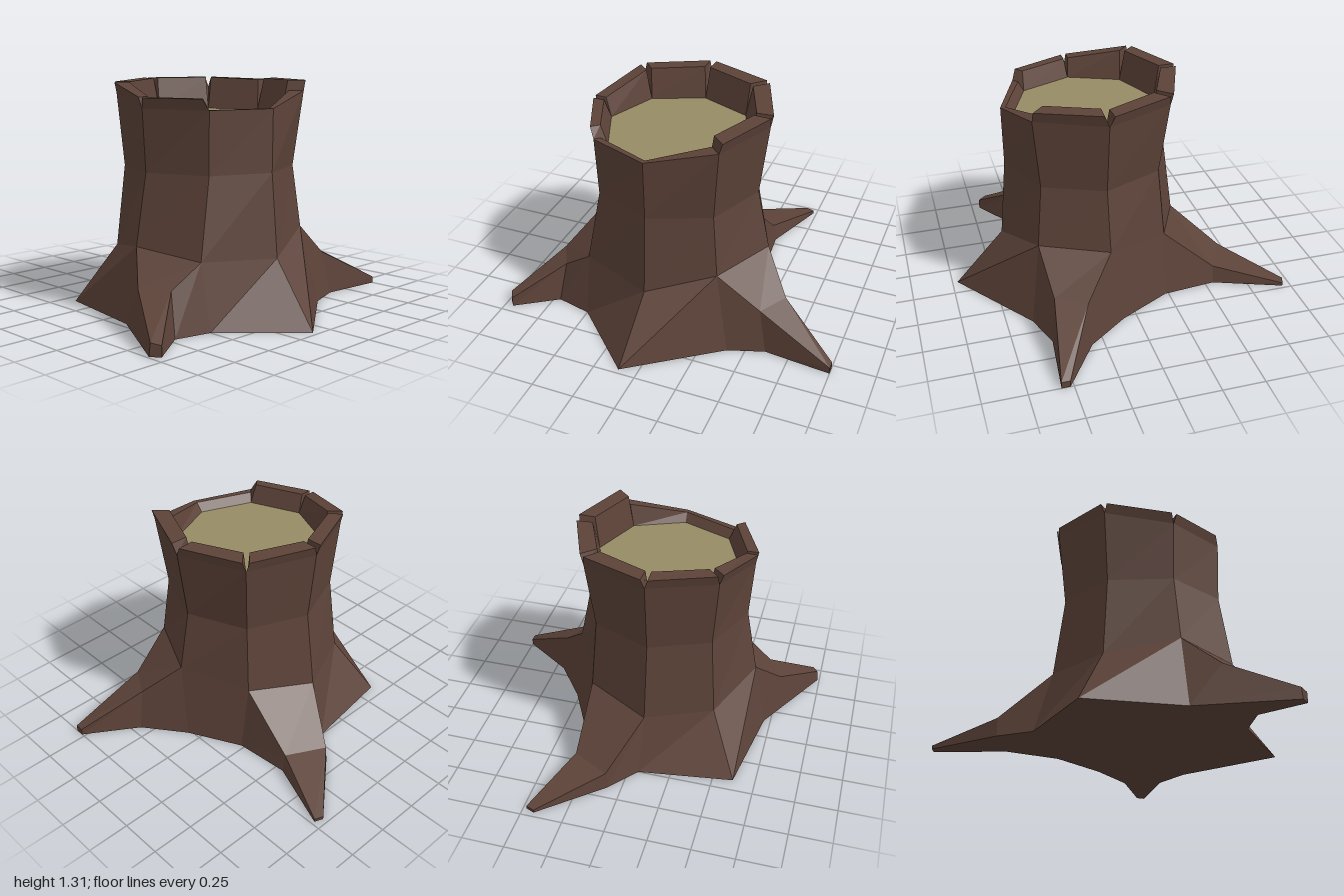
import * as THREE from 'three';

const CX = 0.15, CZ = 0.07, FLOOR_Y = 1.12;

// Point around the trunk axis; k counts eighths of a turn from +x towards +z.
const around = (k, r, y) => {
  const a = (k * Math.PI) / 4;
  return [CX + r * Math.cos(a), y, CZ + r * Math.sin(a)];
};
const ground = ([x, z]) => [x, 0, z];

// Collects flat quads (upper right, upper left, lower left, lower right, seen from outside).
function quadMesh(name, material, build) {
  const pos = [];
  const tri = (...pts) => {
    const [a, b, c] = pts.map((p) => new THREE.Vector3(...p));
    if (b.sub(a).cross(c.sub(a)).length() > 1e-7) pos.push(...pts.flat());
  };
  build((a, b, c, d) => { tri(a, b, c); tri(a, c, d); });
  const g = new THREE.BufferGeometry();
  g.setAttribute('position', new THREE.Float32BufferAttribute(pos, 3));
  g.computeVertexNormals();
  const mesh = new THREE.Mesh(g, material);
  mesh.name = name;
  return mesh;
}

// Where the trunk starts to flare into the roots
const flare = [
  [0.68, 0.35, 0.07], [0.52, 0.37, 0.50], [0.15, 0.42, 0.63], [-0.23, 0.35, 0.45],
  [-0.40, 0.35, 0.07], [-0.23, 0.40, -0.30], [0.15, 0.46, -0.49], [0.53, 0.46, -0.31],
];
const waist = flare.map((_, k) => around(k, 0.487, 0.82));
const rimR = [0.49, 0.50, 0.51, 0.53, 0.535, 0.55, 0.54, 0.545];
const rimY = [1.17, 1.17, 1.17, 1.24, 1.25, 1.25, 1.24, 1.25];
const rim = rimR.map((r, k) => around(k, r, rimY[k]));

// Long roots: knee and tip ridges, then the ground outline from one side to the other
const roots = [
  { name: 'frontRoot', k: 1,
    knee: [[0.48, 0.24, 0.68], [0.32, 0.24, 0.77]], tip: [[0.70, 0.06, 0.95], [0.65, 0.07, 0.98]],
    base: [[0.59, 0.50], [0.54, 0.71], [0.70, 0.95], [0.65, 0.99], [0.15, 0.71], [0.15, 0.71]] },
  { name: 'rightRoot', k: 4,
    knee: [[-0.67, 0.11, -0.09], [-0.55, 0.11, -0.31]], tip: [[-0.97, 0.02, -0.43], [-0.95, 0.02, -0.48]],
    base: [[-0.50, 0.06], [-0.67, -0.08], [-0.97, -0.43], [-0.95, -0.48], [-0.55, -0.33], [-0.23, -0.36]] },
  { name: 'backRoot', k: 6,
    knee: [[0.33, 0.26, -0.66], [0.50, 0.26, -0.56]], tip: [[0.52, 0.04, -1.0], [0.57, 0.04, -1.0]],
    base: [[0.08, -0.52], [0.32, -0.70], [0.52, -1.0], [0.57, -1.0], [0.53, -0.61], [0.60, -0.40]] },
];
const leftToe = [0.97, 0.11], rightToe = [-0.42, 0.62];

// Broken rim panels: top height at each end, and how far each end is cut back
const panels = [
  [1.17, 1.17, 0, 0], [1.23, 1.23, 0.1, 0.04], [1.23, 1.30, 0.04, 0.05], [1.30, 1.31, 0.05, 0.05],
  [1.31, 1.31, 0.05, 0.05], [1.31, 1.30, 0.05, 0.07], [1.31, 1.31, 0.07, 0.04], [1.25, 1.17, 0, 0],
];

export function createModel() {
  const bark = new THREE.MeshStandardMaterial({ color: 0x5d4339, flatShading: true });
  bark.name = 'bark brown';
  const wood = new THREE.MeshStandardMaterial({ color: 0x968b64, flatShading: true });
  wood.name = 'cut wood';
  const model = new THREE.Group();
  model.name = 'treeStump';

  // Trunk walls from flare to rim
  model.add(quadMesh('trunk', bark, (quad) => {
    for (let k = 0; k < 8; k++) {
      const n = (k + 1) % 8;
      quad(rim[k], rim[n], waist[n], waist[k]);
      quad(waist[k], waist[n], flare[n], flare[k]);
    }
  }));

  // Jagged rim panels with notches between them
  model.add(quadMesh('brokenRim', bark, (quad) => {
    panels.forEach(([ha, hb, ca, cb], k) => {
      const n = (k + 1) % 8;
      const mix = (p, q, t) => p.map((v, i) => v + (q[i] - v) * t);
      const edge = (ra, rb) => {
        const a = around(k, ra, ha), b = around(k + 1, rb, hb);
        return [mix(a, b, ca), mix(b, a, cb)];
      };
      const [oa, ob] = edge(rimR[k] + 0.3 * (ha - rimY[k]), rimR[n] + 0.3 * (hb - rimY[n]));
      const [ia, ib] = edge(0.46, 0.46);
      const fa = around(k, 0.42, FLOOR_Y), fb = around(k + 1, 0.42, FLOOR_Y);
      quad(oa, ob, rim[n], rim[k]);
      quad(ia, ib, ob, oa);
      quad(ib, ia, fa, fb);
      quad(ia, oa, rim[k], fa);
      quad(ob, ib, fb, rim[n]);
    });
  }));

  // Cut wood surface inside the rim
  const top = new THREE.Mesh(new THREE.CircleGeometry(0.42, 8).rotateX(-Math.PI / 2), wood);
  top.position.set(CX, FLOOR_Y, CZ);
  top.name = 'cutTop';
  model.add(top);

  // Three long roots
  for (const { name, k, knee, tip, base } of roots) {
    const g = base.map(ground), a = flare[k], b = flare[k + 1];
    model.add(quadMesh(name, bark, (quad) => {
      quad(a, b, knee[1], knee[0]);
      quad(knee[0], knee[1], tip[1], tip[0]);
      quad(a, knee[0], g[1], g[0]);
      quad(knee[0], tip[0], g[2], g[1]);
      quad(tip[0], tip[1], g[3], g[2]);
      quad(tip[1], knee[1], g[4], g[3]);
      quad(knee[1], b, g[5], g[4]);
    }));
  }

  // Flared base walls between the roots, with a short toe on two sides
  const [front, right, back] = roots.map((r) => r.base);
  const walls = [
    [7, back[5], leftToe], [0, leftToe, front[0]], [2, front[5], rightToe],
    [3, rightToe, right[0]], [5, right[5], back[0]],
  ];
  model.add(quadMesh('flaredBase', bark, (quad) => {
    for (const [k, p, q] of walls) quad(flare[k], flare[(k + 1) % 8], ground(q), ground(p));
  }));

  // Underside
  const outline = [leftToe, ...front.slice(0, 5), rightToe, ...right, ...back];
  const shape = new THREE.Shape(outline.map(([x, z]) => new THREE.Vector2(x, z)));
  const under = new THREE.Mesh(new THREE.ShapeGeometry(shape).rotateX(Math.PI / 2), bark);
  under.name = 'underside';
  model.add(under);
  return model;
}
